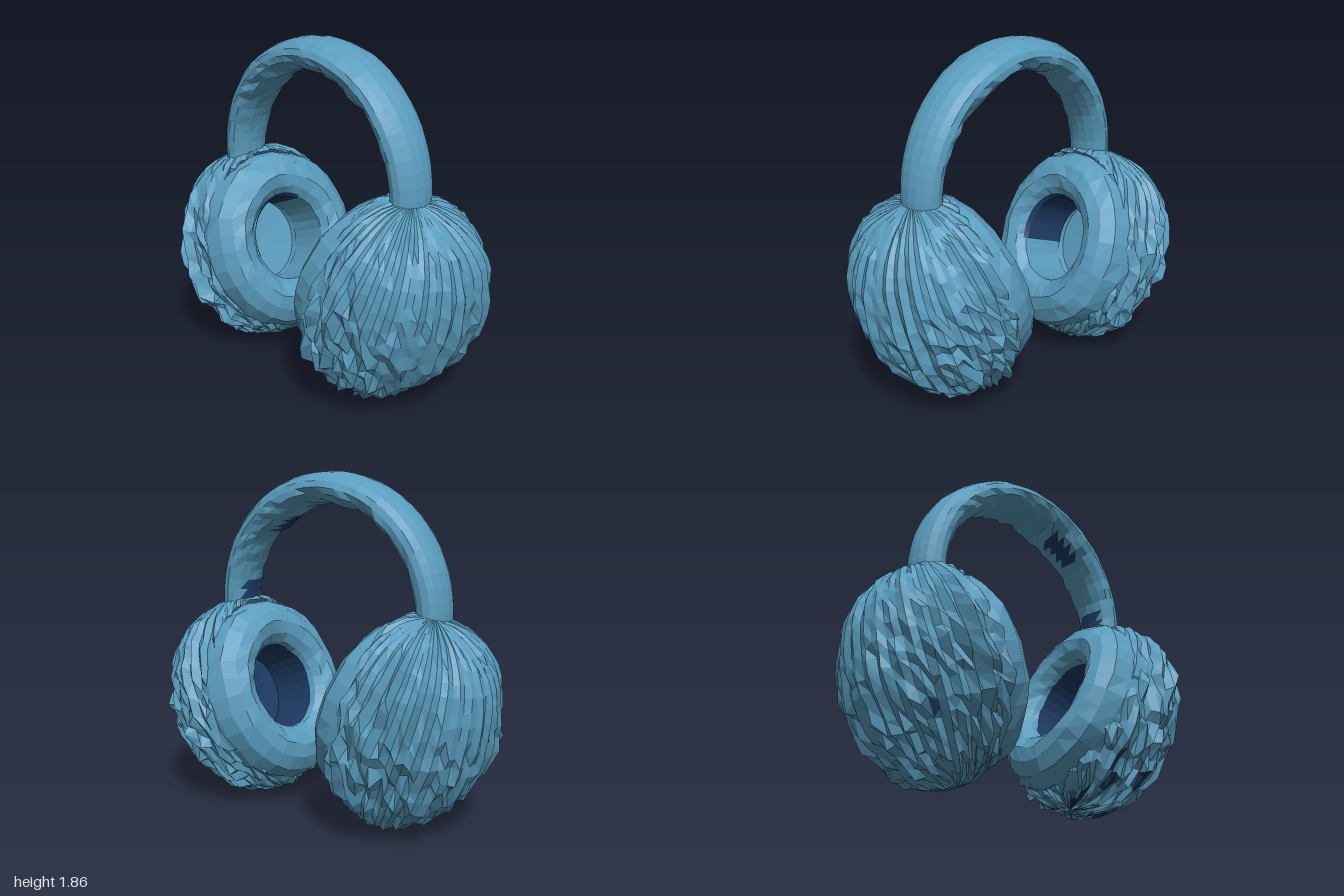
import * as THREE from 'three';

const blue = new THREE.MeshStandardMaterial({ color: 0x5a9cbe, flatShading: true });
blue.name = 'plushBlue';
const navy = new THREE.MeshStandardMaterial({ color: 0x1e3c66, flatShading: true });
navy.name = 'liningNavy';

// repeatable pseudo-random value in -1..1
const hash = (a, b, c = 0) => {
  const s = Math.sin(a * 127.1 + b * 311.7 + c * 74.7) * 43758.5453;
  return (s - Math.floor(s)) * 2 - 1;
};

function add(parent, geometry, material, name) {
  const m = new THREE.Mesh(geometry, material);
  m.name = name;
  parent.add(m);
  return m;
}

// sort faces into plush (group 0) and gaps showing the lining (group 1)
function splitGaps(g, W, isGap) {
  const parts = [[], []];
  const idx = g.index.array;
  for (let f = 0; f < idx.length; f += 3) {
    const a = Math.min(idx[f], idx[f + 1], idx[f + 2]);
    const gap = isGap(a % (W + 1), Math.floor(a / (W + 1)), a);
    parts[gap ? 1 : 0].push(idx[f], idx[f + 1], idx[f + 2]);
  }
  g.setIndex(parts.flat());
  g.clearGroups();
  g.addGroup(0, parts[0].length, 0);
  g.addGroup(parts[0].length, parts[1].length, 1);
  return g;
}

// padded headband: an open tube bent over an elliptical arch
function headband() {
  const W = 16, H = 36;
  const g = new THREE.CylinderGeometry(1, 1, 1, W, H, true);
  const p = g.attributes.position;
  for (let k = 0; k < p.count; k++) {
    const i = (k % (W + 1)) % W, j = Math.floor(k / (W + 1));
    const a = -0.16 + (p.getY(k) + 0.5) * (Math.PI + 0.32);
    const c = Math.cos(a), s = Math.sin(a);
    const n = new THREE.Vector2(c / 0.64, s / 0.655).normalize();
    const inner = p.getX(k) < -0.2 ? 1 : 0.2;
    const lump = inner === 1 && j > 21 && j < 26 ? 0.25 : 0;
    const bump = 1 + 0.12 * inner * hash(i, j, 5) * Math.max(0, s);
    const t = p.getX(k) * 0.087 * (bump + lump);
    const w = p.getZ(k) * (0.127 + 0.034 * Math.max(0, s)) * bump;
    p.setXYZ(k, 0.64 * c + n.x * t, 1.13 + 0.655 * s + n.y * t, 0.025 + w);
  }
  // worn spots underneath and at the left foot
  return splitGaps(g, W, (i, j) =>
    (j >= 22 && j <= 25 && i >= 12 && i <= 13) || (j >= 32 && i >= 11 && i <= 13));
}

// furry shell: tufts combed down from the top, dished on the ear side (+x)
function furShell(seed, torn) {
  const W = 68, H = 26;
  const g = new THREE.SphereGeometry(1, W, H);
  const p = g.attributes.position;
  const v = new THREE.Vector3();
  for (let k = 0; k < p.count; k++) {
    const i = (k % (W + 1)) % W, j = Math.floor(k / (W + 1));
    v.fromBufferAttribute(p, k);
    const ring = Math.sqrt(Math.max(0, 1 - v.y * v.y));
    const up = Math.max(0, v.y);
    const rough = THREE.MathUtils.clamp(0.35 - v.y * 0.6 + Math.abs(v.z) * 0.5, 0.2, 1);
    const calm = v.x > 0.45 ? 0.35 : 1;
    const ridge = (i % 2 ? 0.018 : -0.03) + 0.035 * hash(i, Math.floor(j / 6), seed);
    const d = 1 + calm * ring * (ridge + 0.065 * rough * hash(i, j, seed));
    const sag = calm * ring * rough * 0.04 * hash(j, i, seed + 3);
    let x = v.x * 0.41 * d;
    if (x > 0.2) x = 0.2 - (x - 0.2) * 2;
    // fuller shoulders on the upper half
    const y = v.y * (1 + 0.3 * up * (1 - up)) * 0.57 * (1 + (d - 1) * 0.6) + sag;
    p.setXYZ(k, x + 0.08 * up ** 4, y, v.z * 0.508 * d);
  }
  // gaps between the lower tufts, or a single one on the sound cup
  return splitGaps(g, W, (i, j, a) => {
    const x = p.getX(a), y = p.getY(a), z = p.getZ(a);
    if (!torn) return z > 0 && Math.abs(x + 0.25) < 0.025 && Math.abs(y + 0.2) < 0.04;
    return x < 0.08 && x > -0.27 && y < -0.28 && z < -0.02 && z > -0.42
      && hash(Math.floor(i / 2), Math.floor(j / 2), 6) > 0.3;
  });
}

// turned ring facing +x from [radius, depth] points, slightly uneven
function turned(points, uneven, start = 0, arc = Math.PI * 2) {
  const N = 30;
  const g = new THREE.LatheGeometry(points.map(([r, d]) => new THREE.Vector2(r, d)), N, start, arc);
  g.rotateZ(-Math.PI / 2);
  const p = g.attributes.position, n = points.length;
  for (let k = 0; k < p.count; k++) {
    const i = Math.floor(k / n) % N, j = k % n;
    const s = 1 + uneven * hash(i, j, 9);
    p.setXYZ(k, p.getX(k) + uneven * 0.3 * hash(j, i, 4), p.getY(k) * s * 1.03, p.getZ(k) * s * 0.95);
  }
  return g;
}

// one ear cup; the ear side tilts inward and up
function earCup(name, seed, wall, torn) {
  const cup = new THREE.Group();
  cup.name = name;
  add(cup, furShell(seed, torn), [blue, navy], 'furShell');
  add(cup, turned([[0.44, -0.02], [0.5, 0.08], [0.505, 0.17], [0.48, 0.26], [0.42, 0.32], [0.35, 0.34],
    [0.285, 0.315], [0.245, 0.27], [0.235, wall]], 0.02), blue, 'earCushion');
  add(cup, turned([[0.246, wall + 0.015], [0.235, -0.04], [0, -0.05]], 0), torn ? navy : blue, 'earLining');
  // the sound cup shows lining only along the upper front of its hole
  if (!torn) add(cup, turned([[0.25, 0.288], [0.232, 0.265], [0.222, 0]], 0, -2.1, 2.4), navy, 'liningEdge');
  cup.position.set(-0.56, 0.575, -0.035);
  cup.rotation.set(0, -0.11, 0.355, 'YXZ');
  return cup;
}

export function createModel() {
  const model = new THREE.Group();
  model.name = 'earmuffs';
  add(model, headband(), [blue, navy], 'headband');
  model.add(earCup('rightEarCup', 1, 0.0, false));
  // the left cup is the right one turned half round
  const left = new THREE.Group();
  left.name = 'leftSide';
  left.rotation.y = Math.PI;
  left.add(earCup('leftEarCup', 2, 0.235, true));
  model.add(left);
  return model;
}
